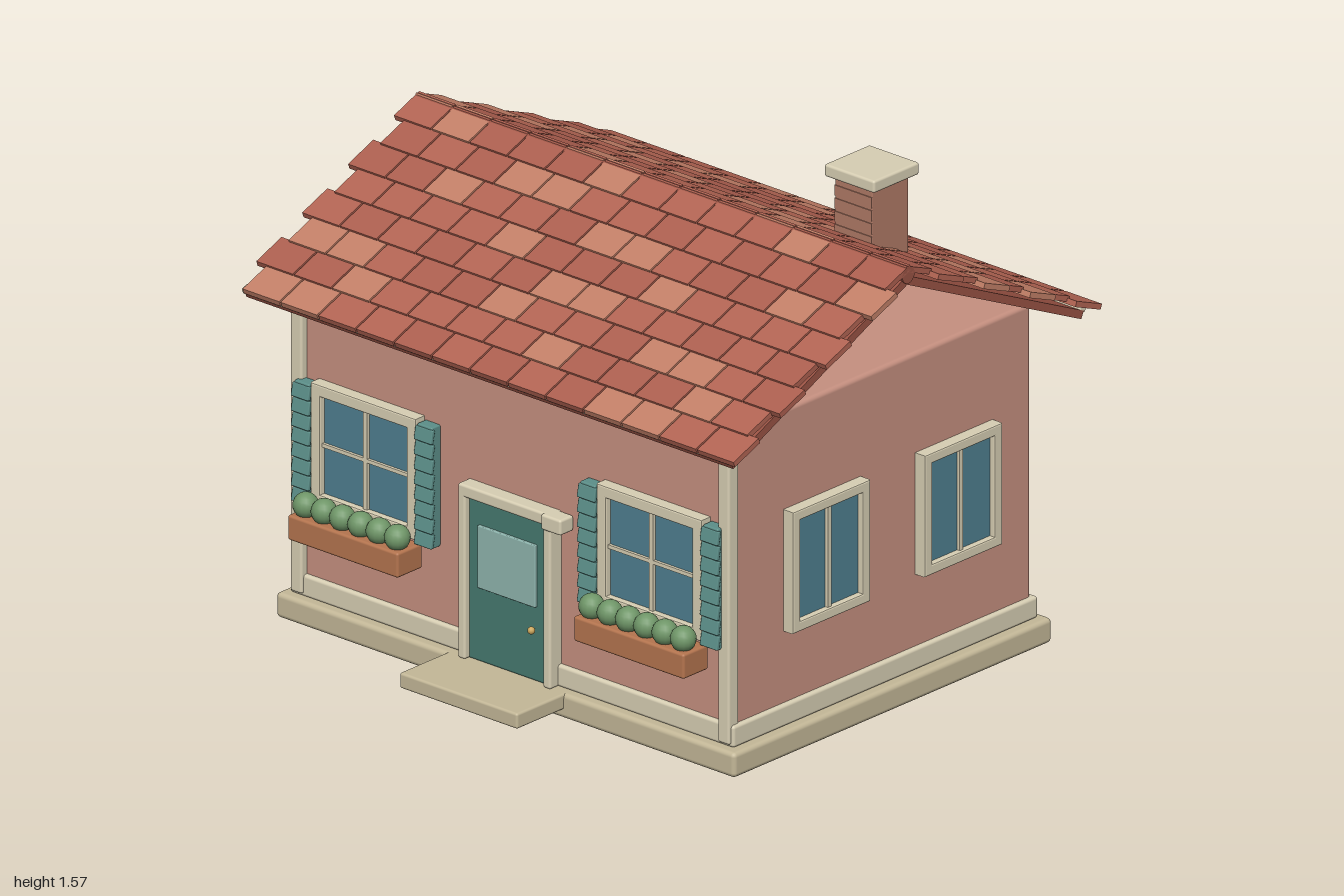
import * as THREE from 'three';
import { RoundedBoxGeometry } from 'three/addons/geometries/RoundedBoxGeometry.js';

const mat = (color) => new THREE.MeshStandardMaterial({ color });
const M = {
  wall: mat(0xc69080), stone: mat(0xc4b898), trim: mat(0xd8cfb4), door: mat(0x467a70),
  shutter: mat(0x5c8f89), glass: mat(0x4f7f90), doorGlass: mat(0x8fb5ae), wood: mat(0xb5754f),
  plant: mat(0x6f9668), brass: mat(0xc9a45a), slab: mat(0x9a5344), chimney: mat(0xb07a66),
  tiles: [mat(0xb26453), mat(0xac5f4f), mat(0xc27f67)],
};
const CX = -0.015; // middle of the house
const RIDGE_Z = -0.045;

function add(parent, name, geometry, material, x, y, z) {
  const mesh = new THREE.Mesh(geometry, material);
  mesh.name = name;
  mesh.position.set(x, y, z);
  parent.add(mesh);
  return mesh;
}

// Box with softened edges, given by its extents
function block(parent, name, material, [x0, x1], [y0, y1], [z0, z1], r = 0.008) {
  const geo = new RoundedBoxGeometry(x1 - x0, y1 - y0, z1 - z0, 2, r);
  return add(parent, name, geo, material, (x0 + x1) / 2, (y0 + y1) / 2, (z0 + z1) / 2);
}

// Window facing +z, its back on z = 0
function makeWindow(name, w, h, border, depth, crossBar) {
  const g = new THREE.Group();
  g.name = name;
  const b = 0.005, iw = w / 2 - border, ih = h / 2 - border;
  const rect = (C, a, c) => {
    const s = new C();
    s.moveTo(-a, -c); s.lineTo(a, -c); s.lineTo(a, c); s.lineTo(-a, c); s.closePath();
    return s;
  };
  const shape = rect(THREE.Shape, w / 2 - b, h / 2 - b);
  shape.holes.push(rect(THREE.Path, iw + b, ih + b));
  const frame = new THREE.ExtrudeGeometry(shape, {
    depth: depth - b, bevelEnabled: true, bevelSize: b, bevelThickness: b, bevelSegments: 2,
  });
  add(g, 'windowFrame', frame, M.trim, 0, 0, 0);
  add(g, 'windowGlass', new THREE.BoxGeometry(iw * 2 + 0.01, ih * 2 + 0.01, 0.02), M.glass, 0, 0, 0.01);
  add(g, 'verticalBar', new THREE.BoxGeometry(0.015, ih * 2, 0.015), M.trim, 0, 0, 0.023);
  if (crossBar) add(g, 'crossBar', new THREE.BoxGeometry(iw * 2, 0.012, 0.015), M.trim, 0, 0, 0.022);
  return g;
}

function makeShutter(x) {
  const g = new THREE.Group();
  g.name = 'shutter';
  block(g, 'shutterBoard', M.shutter, [x - 0.03, x + 0.03], [0.39, 0.78], [0.61, 0.65], 0.005);
  for (let i = 0; i < 8; i++) {
    const slat = add(g, 'slat', new RoundedBoxGeometry(0.07, 0.044, 0.014, 1, 0.004), M.shutter,
      x, 0.415 + i * 0.048, 0.65);
    slat.rotation.x = -0.2;
  }
  return g;
}

// Front window with shutters and planted flower box
function makeFrontWindow(x) {
  const g = new THREE.Group();
  g.name = 'frontWindow';
  const win = makeWindow('window', 0.42, 0.39, 0.038, 0.04, true);
  win.position.set(x, 0.595, 0.61);
  g.add(win, makeShutter(x - 0.245), makeShutter(x + 0.245));
  block(g, 'flowerBox', M.wood, [x - 0.22, x + 0.22], [0.31, 0.39], [0.63, 0.74]);
  for (let i = 0; i < 6; i++) {
    add(g, 'plant', new THREE.SphereGeometry(0.04, 16, 12), M.plant, x + (i - 2.5) * 0.073, 0.42, 0.7);
  }
  return g;
}

function makeDoor() {
  const g = new THREE.Group();
  g.name = 'frontDoor';
  block(g, 'doorPanel', M.door, [-0.18, 0.15], [0.08, 0.61], [0.6, 0.64]);
  block(g, 'doorWindow', M.doorGlass, [-0.13, 0.1], [0.32, 0.52], [0.62, 0.65], 0.003);
  for (const x of [-0.185, 0.155]) {
    block(g, 'doorJamb', M.trim, [x - 0.015, x + 0.015], [0.08, 0.62], [0.6, 0.66]);
  }
  block(g, 'doorLintel', M.trim, [-0.2, 0.17], [0.6, 0.64], [0.6, 0.66]);
  block(g, 'lintelBlock', M.trim, [0.14, 0.22], [0.59, 0.64], [0.61, 0.67]);
  add(g, 'doorKnob', new THREE.SphereGeometry(0.012, 12, 8), M.brass, 0.095, 0.25, 0.66);
  block(g, 'doorStep', M.stone, [-0.25, 0.22], [0.03, 0.08], [0.62, 0.86]);
  return g;
}

// One slope of the roof; s = 1 runs to the front, s = -1 to the back
function makeSlope(s) {
  const g = new THREE.Group();
  g.name = s > 0 ? 'frontRoof' : 'backRoof';
  g.position.set(0, 1.45, RIDGE_Z);
  g.rotation.x = s * 0.43;
  add(g, 'roofSlab', new THREE.BoxGeometry(1.94, 0.026, 0.86), M.slab, CX, -0.048, s * 0.44);
  add(g, 'eaveBatten', new RoundedBoxGeometry(1.94, 0.02, 0.03, 2, 0.006), M.trim, CX, -0.03, s * 0.865);
  const pitch = 0.151, step = 0.111;
  const tile = new THREE.BoxGeometry(pitch - 0.006, 0.018, step + 0.008);
  for (let row = 0; row < 8; row++) {
    const start = row % 2 ? -0.963 : -1;
    for (let i = 0; i < 13; i++) {
      const n = (i * 7 + row * 5 + (i * row) % 3 + (s > 0 ? 2 : 0)) % 9;
      const m = add(g, 'shingle', tile, M.tiles[n < 2 ? 2 : n % 2],
        start + (i + 0.5) * pitch, -0.012, s * (row + 0.5) * step);
      m.rotation.x = -s * 0.06;
    }
  }
  return g;
}

function makeChimney() {
  const g = new THREE.Group();
  g.name = 'chimney';
  block(g, 'chimneyStack', M.chimney, [0.48, 0.63], [1.18, 1.54], [-0.41, -0.25], 0.004);
  for (let i = 0; i < 5; i++) {
    add(g, 'brickCourse', new THREE.BoxGeometry(0.148, 0.034, 0.006), M.chimney, 0.555, 1.32 + i * 0.042, -0.25);
  }
  block(g, 'chimneyCap', M.trim, [0.455, 0.655], [1.53, 1.57], [-0.43, -0.23]);
  return g;
}

export function createModel() {
  const house = new THREE.Group();
  house.name = 'house';

  // Body and base
  block(house, 'foundation', M.stone, [-0.93, 0.9], [0, 0.08], [-0.745, 0.655], 0.015);
  block(house, 'baseboard', M.trim, [-0.9, 0.87], [0.08, 0.15], [-0.715, 0.625], 0.01);
  block(house, 'walls', M.wall, [-0.885, 0.855], [0.08, 1.09], [-0.7, 0.61], 0.015);
  for (const x of [-0.867, 0.837]) {
    block(house, 'cornerTrim', M.trim, [x - 0.023, x + 0.023], [0.09, 1.08], [0.59, 0.635]);
  }

  // Front
  house.add(makeDoor(), makeFrontWindow(CX - 0.57), makeFrontWindow(CX + 0.57));

  // Side windows
  for (const s of [1, -1]) {
    for (const z of [0.22, -0.36]) {
      const win = makeWindow(s > 0 ? 'leftSideWindow' : 'rightSideWindow', 0.34, 0.39, 0.033, 0.04, false);
      win.position.set(CX + s * 0.87, 0.575, z);
      win.rotation.y = s * Math.PI / 2;
      house.add(win);
    }
  }

  // Roof
  house.add(makeSlope(1), makeSlope(-1), makeChimney());
  const ridge = add(house, 'ridgeBeam', new THREE.CylinderGeometry(0.027, 0.027, 1.95, 16), M.slab, CX, 1.415, RIDGE_Z);
  ridge.rotation.z = Math.PI / 2;
  return house;
}
